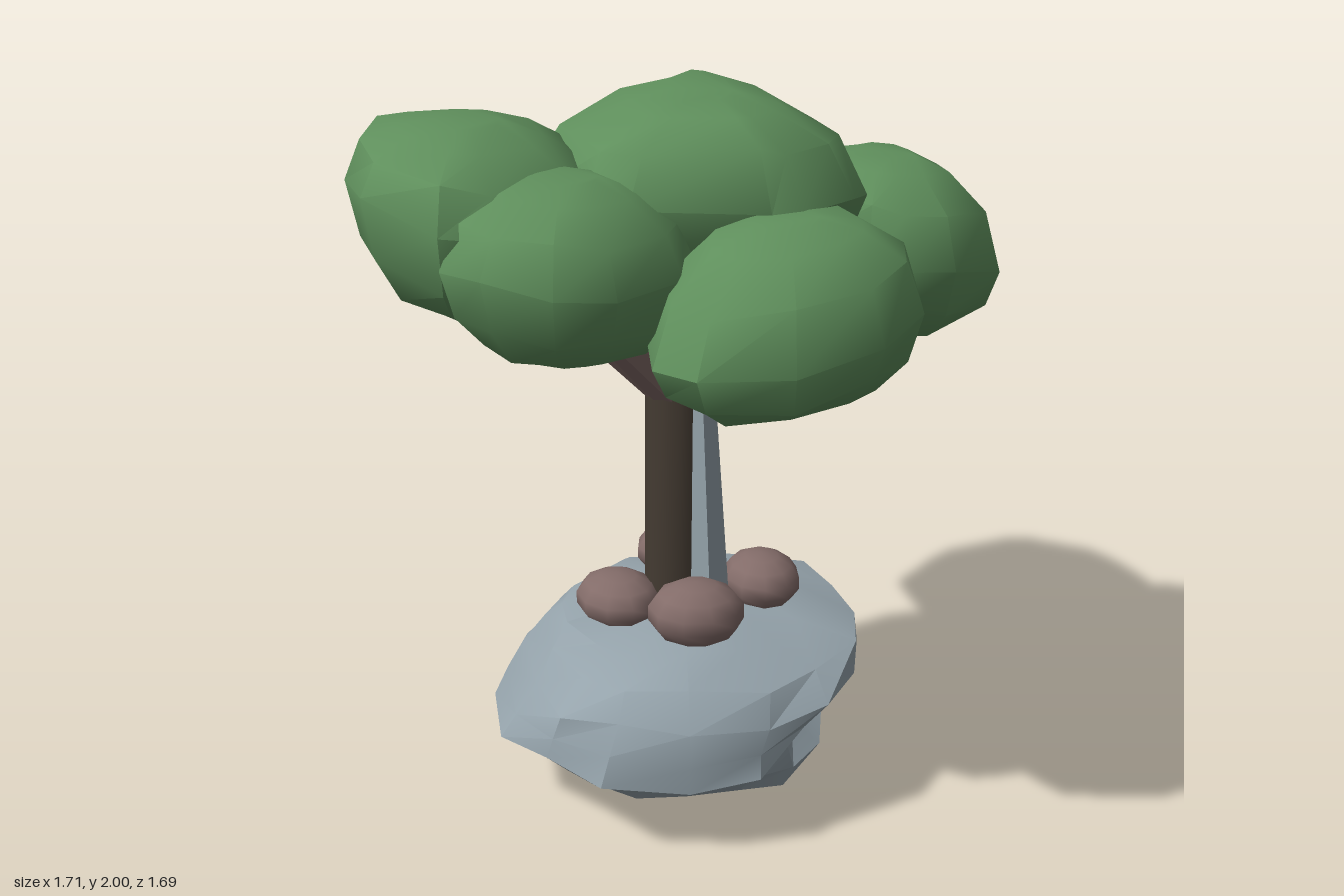
import * as THREE from 'three';
import { toCreasedNormals } from 'three/addons/utils/BufferGeometryUtils.js';

const mat = (name, color) => {
  const m = new THREE.MeshStandardMaterial({ color });
  m.name = name;
  return m;
};

// Closed skin through stacked rings of [x, y, z] points, bottom ring first
function loft(rings, crease) {
  const n = rings[0].length, pos = rings.flat(2), index = [];
  const at = (j, i) => j * n + (i % n);
  for (let j = 0; j < rings.length - 1; j++) {
    for (let i = 0; i < n; i++) {
      index.push(at(j, i), at(j + 1, i), at(j, i + 1));
      index.push(at(j + 1, i), at(j + 1, i + 1), at(j, i + 1));
    }
  }
  const last = rings.length - 1;
  for (let i = 1; i < n - 1; i++) {
    index.push(0, i, i + 1);
    index.push(at(last, 0), at(last, i + 1), at(last, i));
  }
  const g = new THREE.BufferGeometry();
  g.setAttribute('position', new THREE.Float32BufferAttribute(pos, 3));
  g.setIndex(index);
  return toCreasedNormals(g, crease);
}

// Leaf clump: a plan outline swept through a rounded, flat-bottomed profile.
// tilt slopes its widest part along x and z; ridge stretches the top along z.
function clumpGeometry({ c, y, waist, tilt = [0, 0], ridge = 0, plan }) {
  const levels = [[0, 0.36, 0.2], [waist * 0.18, 0.68, 0.5], [waist * 0.5, 0.9, 0.8], [waist, 1, 1],
    [waist + (1 - waist) * 0.55, 0.86, 1], [0.94, 0.55, 0.7], [1, 0.25, 0.2]];
  const rings = levels.map(([t, s, lean], k) => plan.map(([px, pz], i) => {
    const dx = (px - c[0]) * s * (1 - 0.4 * ridge * t ** 6);
    const dz = (pz - c[1]) * s * (1 + ridge * t ** 12);
    const wobble = k > 0 && k < 5 ? 0.01 * Math.sin(i * 2.4 + k * 1.7) : 0;
    return [c[0] + dx, y[0] + (y[1] - y[0]) * t + lean * (tilt[0] * dx + tilt[1] * dz) + wobble, c[1] + dz];
  }));
  return loft(rings, 0.75);
}

const clumps = {
  outerClump: { c: [-0.55, 0.19], y: [1.47, 1.955], waist: 0.62, tilt: [-0.12, 0],
    plan: [[-0.2, 0.15], [-0.23, 0.4], [-0.46, 0.59], [-0.6, 0.61], [-0.8, 0.38],
      [-0.86, 0.17], [-0.83, -0.08], [-0.61, -0.2], [-0.47, -0.22], [-0.27, -0.12]] },
  frontLowClump: { c: [-0.3, 0.42], y: [1.42, 1.87], waist: 0.55, tilt: [-0.1, 0],
    plan: [[0.03, 0.4], [-0.02, 0.57], [-0.18, 0.73], [-0.33, 0.77], [-0.5, 0.7],
      [-0.6, 0.6], [-0.62, 0.4], [-0.5, 0.15], [-0.3, 0.08], [-0.08, 0.18]] },
  crownClump: { c: [0.05, 0.02], y: [1.5, 1.995], waist: 0.48, tilt: [0, 0.1], ridge: 0.6,
    plan: [[0.47, 0.18], [0.42, 0.33], [0.28, 0.45], [0.2, 0.47], [-0.15, 0.46], [-0.27, 0.4],
      [-0.36, 0.1], [-0.4, -0.18], [-0.03, -0.47], [0.15, -0.42], [0.38, -0.22], [0.42, -0.1]] },
  frontSideClump: { c: [0.23, 0.5], y: [1.32, 1.78], waist: 0.45, tilt: [0.12, -0.09],
    plan: [[0.57, 0.47], [0.56, 0.6], [0.45, 0.73], [0.23, 0.84], [0, 0.81],
      [-0.1, 0.68], [-0.11, 0.5], [0, 0.25], [0.25, 0.17], [0.48, 0.25]] },
  sideClump: { c: [0.55, -0.12], y: [1.295, 1.78], waist: 0.46, tilt: [-0.14, 0.12],
    plan: [[0.85, 0.05], [0.7, 0.23], [0.57, 0.25], [0.47, 0.24], [0.3, 0.12],
      [0.25, -0.1], [0.3, -0.36], [0.47, -0.48], [0.7, -0.4], [0.82, -0.17]] },
  backClump: { c: [0.08, -0.48], y: [1.29, 1.76], waist: 0.52,
    plan: [[0.45, -0.43], [0.35, -0.2], [0.1, -0.1], [-0.15, -0.15], [-0.27, -0.32],
      [-0.32, -0.57], [-0.16, -0.76], [0.07, -0.85], [0.28, -0.73], [0.38, -0.6]] },
};

// Base rock: rings of [y, -x extent, +x extent, front extent, back extent, notch, lower bulge]
function rockGeometry() {
  const sections = [
    [0, 0.1, 0.14, 0.15, 0.1, 0, 0], [0.06, 0.33, 0.36, 0.36, 0.29, 0, 0.16],
    [0.14, 0.44, 0.41, 0.44, 0.46, 0, 0.08], [0.215, 0.54, 0.44, 0.56, 0.46, 0.32, 0],
    [0.29, 0.5, 0.46, 0.56, 0.45, 0.26, 0], [0.37, 0.45, 0.51, 0.54, 0.44, 0, 0],
    [0.45, 0.39, 0.5, 0.46, 0.4, 0, 0], [0.5, 0.34, 0.34, 0.34, 0.3, 0, 0],
    [0.535, 0.15, 0.15, 0.15, 0.15, 0, 0]];
  const n = 16;
  const round = (v) => Math.sign(v) * Math.abs(v) ** 0.88;
  const bump = (a, centre, width) => Math.exp(-(((a - centre) / width) ** 2));
  const rings = sections.map(([y, xr, xl, zf, zb, notch, bulge], k) => Array.from({ length: n }, (_, i) => {
    let a = (i / n) * Math.PI * 2;
    if (a > Math.PI) a -= Math.PI * 2;
    const cx = round(Math.cos(a)), sz = round(Math.sin(a));
    const w = 1 + 0.04 * Math.sin(i * 2.9 + k * 1.9) * Math.abs(Math.sin(2 * a))
      - notch * bump(a, 0.15, 0.6) + bulge * bump(a, -0.8, 0.5) - 0.13 * bump(a, -2.35, 0.45);
    const lift = k > 0 && k < 8 ? 0.014 * Math.sin(i * 1.9 + k) : 0;
    return [cx * (cx > 0 ? xl : xr) * w, y + lift, sz * (sz > 0 ? zf : zb) * w];
  }));
  return loft(rings, 0.5);
}

// Tapered limb between two points
function limb(from, to, r0, r1, sides) {
  const a = new THREE.Vector3(...from), b = new THREE.Vector3(...to);
  const d = b.clone().sub(a);
  const g = toCreasedNormals(new THREE.CylinderGeometry(r1, r0, d.length(), sides), 0.7);
  g.applyQuaternion(new THREE.Quaternion().setFromUnitVectors(new THREE.Vector3(0, 1, 0), d.normalize()));
  const m = a.add(b).multiplyScalar(0.5);
  return g.translate(m.x, m.y, m.z);
}

export function createModel() {
  const group = new THREE.Group();
  const leaf = mat('leaf green', 0x5f8f5c);
  const bark = mat('dark bark', 0x443b32);
  const earth = mat('rosy brown', 0x836c69);
  const stone = mat('blue grey stone', 0x95a3ab);
  const add = (name, geometry, material) => {
    const m = new THREE.Mesh(geometry, material);
    m.name = name;
    group.add(m);
    return m;
  };

  add('baseRock', rockGeometry(), stone);
  add('trunk', limb([-0.005, 0.4, 0.035], [-0.005, 1.2, 0.035], 0.1, 0.095, 12), bark);

  // Root tip showing inside the hollow of the rock
  add('rootTip', limb([0.1, 0.3, 0.07], [0.325, 0.25, 0.09], 0.04, 0.022, 6), bark);

  // Branches fan out to the outer clumps
  [[-0.42, 1.56, 0.16], [-0.24, 1.49, 0.36], [0.2, 1.4, 0.4], [0.46, 1.39, -0.04], [0.04, 1.42, -0.42]]
    .forEach((tip, i) => add(`branch${i + 1}`,
      limb([tip[0] * 0.05, 1.15, 0.02 + tip[2] * 0.05], tip, 0.06, 0.042, 6), earth));

  // Thin green sprig rising from the fork into the crown
  add('sprig', limb([0, 1.2, 0.02], [0, 1.56, 0.02], 0.014, 0.026, 5), leaf);

  // Boulders ringed around the foot of the trunk: position, then half sizes
  [[0.03, 0.59, 0.25, 0.135, 0.092, 0.118], [0.228, 0.57, 0.01, 0.11, 0.08, 0.125],
    [-0.18, 0.552, 0.08, 0.115, 0.078, 0.13], [-0.01, 0.585, -0.17, 0.12, 0.072, 0.11]]
    .forEach(([x, y, z, sx, sy, sz], i) => {
      const b = add(`boulder${i + 1}`, new THREE.SphereGeometry(1, 10, 7), earth);
      b.position.set(x, y, z);
      b.scale.set(sx, sy, sz);
      b.rotation.y = 0.3 * i;
    });

  // Tall stone shards leaning against the trunk: base x, z, top x, z, radius
  [[0.075, 0.155, 0.05, 0.15, 0.055], [0.085, 0.1, 0.065, 0.1, 0.05],
    [-0.04, -0.075, -0.005, -0.085, 0.045]]
    .forEach(([x0, z0, x1, z1, r], i) => add(`stoneShard${i + 1}`,
      limb([x0, 0.48, z0], [x1, 1.19, z1], r, r * 0.45, 4), stone));

  for (const [name, spec] of Object.entries(clumps)) add(name, clumpGeometry(spec), leaf);
  return group;
}
